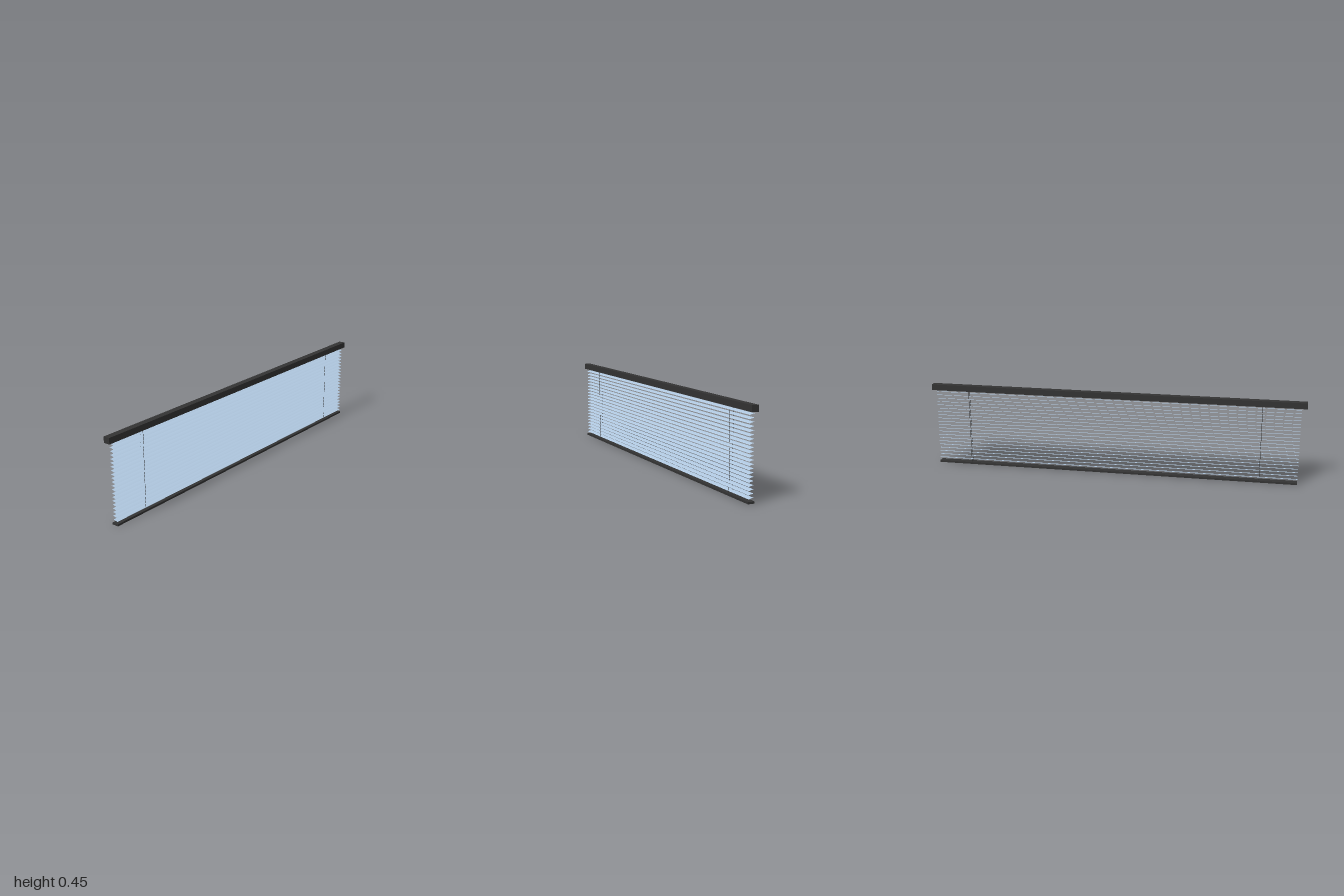
import * as THREE from 'three';

const dark = new THREE.MeshStandardMaterial({ color: 0x333333 });
const blue = new THREE.MeshStandardMaterial({ color: 0xb0c8e0, side: THREE.DoubleSide });

export function createModel() {
  const group = new THREE.Group();
  const add = (name, geometry, material, x, y, z) => {
    const mesh = new THREE.Mesh(geometry, material);
    mesh.name = name;
    mesh.position.set(x, y, z);
    group.add(mesh);
  };

  // Head rail and bottom rail
  add('headRail', new THREE.BoxGeometry(2, 0.031, 0.034), dark, 0, 0.43, 0);
  add('bottomRail', new THREE.BoxGeometry(1.952, 0.01, 0.034), dark, 0.003, 0.005, 0);

  // Thin slat: slightly crowned, front edge lower than the back edge
  const slat = new THREE.PlaneGeometry(1.952, 0.0255, 1, 6);
  slat.rotateX(-Math.PI / 2);
  const p = slat.attributes.position;
  for (let i = 0; i < p.count; i++) {
    const t = p.getZ(i) / 0.01275;
    p.setY(i, 0.001 * (1 - t * t));
  }
  slat.rotateX(0.23);
  slat.computeVertexNormals();

  const count = 21, bottom = 0.0245, pitch = 0.0189;
  for (let i = 0; i < count; i++) {
    add('slat', slat, blue, 0.003, bottom + i * pitch, 0.0015);
  }

  // Ladder cords in front of and behind the slats
  const cord = new THREE.CylinderGeometry(0.001, 0.001, 0.407, 8);
  for (const x of [-0.775, 0.797]) {
    for (const z of [0.0098, -0.008]) add('ladderCord', cord, dark, x, 0.2125, z);
  }
  return group;
}
